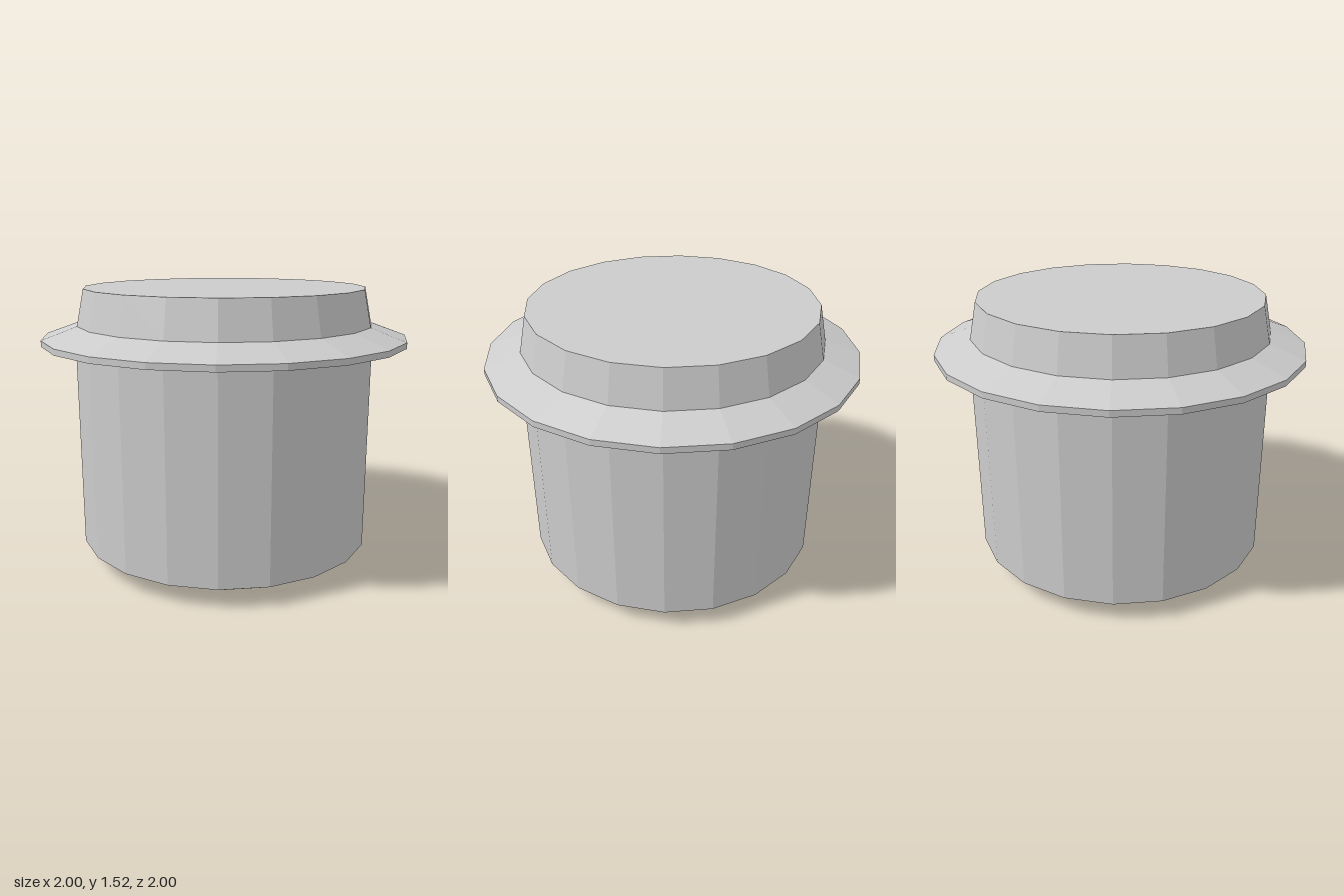
import * as THREE from 'three';

const SIDES = 20;

// Faceted ring surface turned from [radius, height] points, listed bottom to top
function turned(name, profile, material) {
  const points = profile.map(([r, y]) => new THREE.Vector2(r, y));
  const mesh = new THREE.Mesh(new THREE.LatheGeometry(points, SIDES), material);
  mesh.name = name;
  return mesh;
}

export function createModel() {
  const group = new THREE.Group();
  group.name = 'flangedPlug';
  const material = new THREE.MeshStandardMaterial({ color: 0xcccccc, flatShading: true });

  group.add(
    // Straight barrel with a flat base and chamfered lower edge
    turned('body', [[0, 0], [0.61, 0], [0.82, 0.11], [0.82, 1.225]], material),
    // Thin overhanging collar with a sloped top
    turned('flange', [[0.82, 1.225], [1, 1.225], [1, 1.257], [0.81, 1.325]], material),
    // Tapered cap with a flat top
    turned('cap', [[0.81, 1.325], [0.77, 1.52], [0, 1.52]], material),
  );
  return group;
}
